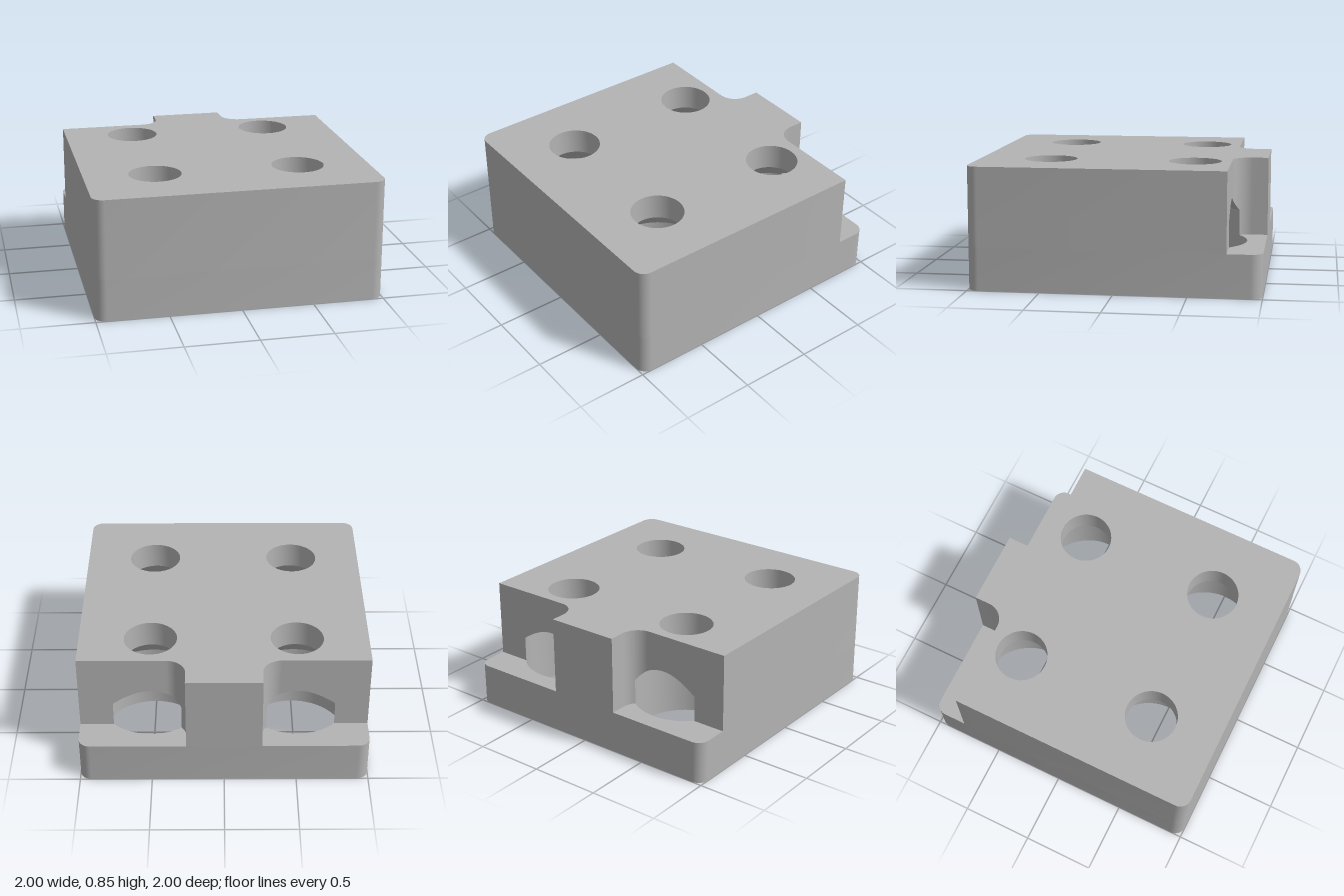
import * as THREE from 'three';
import { mergeGeometries, toCreasedNormals } from 'three/addons/utils/BufferGeometryUtils.js';

const HEIGHT = 0.85, LEDGE = 0.3;               // block top, notch floor
const BORE = 0.365, HOLE = 0.183, SPRING = 0.48; // bore radii, start of the 45 degree cone
const CONE_TOP = SPRING + BORE - HOLE;
const C = 0.505;                                 // bore centre distance in x and z
const WALL = -0.76, TAB = 0.26, FILLET = 0.13, CORNER = 0.08;

// Plan points are Vector2(x, z); falling angles run anticlockwise seen from above.
const P = (x, z) => new THREE.Vector2(x, z);
function arc(cx, cz, r, a0, a1, n) {
  return Array.from({ length: n + 1 }, (_, i) => {
    const a = a0 + (a1 - a0) * i / n;
    return P(cx + r * Math.cos(a), cz + r * Math.sin(a));
  });
}
const mirror = (pts) => pts.map((p) => P(-p.x, p.y)).reverse();

// Upright or sloping surface between two plan paths; heights may vary per point
function ribbon(lower, y0, upper, y1, flip = false) {
  const pos = [], index = [];
  const h = (y, p) => (typeof y === 'function' ? y(p) : y);
  lower.forEach((p, i) => {
    const q = upper[i];
    pos.push(p.x, h(y0, p), p.y, q.x, h(y1, q), q.y);
    if (i === 0) return;
    const a = 2 * i - 2, b = a + 1, c = a + 2, d = a + 3;
    if (flip) index.push(a, d, c, a, b, d);
    else index.push(a, c, d, a, d, b);
  });
  const g = new THREE.BufferGeometry();
  g.setAttribute('position', new THREE.Float32BufferAttribute(pos, 3));
  g.setIndex(index);
  return g;
}
const wall = (pts, y0, y1, flip) => ribbon(pts, y0, pts, y1, flip);

// Flat horizontal face with holes
function cap(outline, holes, y, up) {
  const s = up ? -1 : 1;
  const flat = (pts) => pts.map((p) => P(p.x, s * p.y));
  const shape = new THREE.Shape(flat(outline));
  shape.holes = holes.map((h) => new THREE.Path(flat(h)));
  const g = new THREE.ShapeGeometry(shape);
  g.rotateX(s * Math.PI / 2);
  g.translate(0, y, 0);
  return g;
}

function smooth(parts) {
  const plain = parts.map((g) => {
    const n = g.index ? g.toNonIndexed() : g;
    n.deleteAttribute('uv');
    n.deleteAttribute('normal');
    return n;
  });
  return toCreasedNormals(mergeGeometries(plain), 0.5);
}

export function createModel() {
  const group = new THREE.Group();
  const grey = new THREE.MeshStandardMaterial({ color: 0xb3b3b3 });
  grey.name = 'grey';
  const add = (name, ...parts) => {
    const mesh = new THREE.Mesh(smooth(parts), grey);
    mesh.name = name;
    group.add(mesh);
  };
  const H = Math.PI / 2, k = 1 - CORNER;

  // Rounded corners of the plan
  const frontRight = arc(k, k, CORNER, H, 0, 10);
  const backRight = arc(k, -k, CORNER, 0, -H, 10);
  const front = [...mirror(frontRight), ...frontRight];
  const base = [...front, ...backRight, ...mirror(backRight)];

  // Notch wall on the left side, split where the bore breaks through it
  const fc = P(TAB + FILLET, WALL - FILLET);
  const filletAt = (a) => P(fc.x + FILLET * Math.cos(a), fc.y + FILLET * Math.sin(a));
  const centre = P(C, -C);
  let lo = H, hi = Math.PI;
  for (let i = 0; i < 40; i++) {
    const mid = (lo + hi) / 2;
    if (filletAt(mid).distanceTo(centre) < BORE) lo = mid; else hi = mid;
  }
  const A = P(C + Math.sqrt(BORE ** 2 - (WALL + C) ** 2), WALL);
  const outer = [P(1, WALL), A];
  const straight = Array.from({ length: 25 }, (_, i) => P(A.x + (fc.x - A.x) * i / 24, WALL));
  const opening = [...straight, ...arc(fc.x, fc.y, FILLET, H, lo, 12).slice(1)];
  const inner = [...arc(fc.x, fc.y, FILLET, lo, Math.PI, 8), P(TAB, -1)];
  const notch = [...outer, ...opening.slice(1), ...inner.slice(1)];
  const B = inner[0];
  const angA = Math.atan2(A.y + C, A.x - C), angB = Math.atan2(B.y + C, B.x - C);
  const openArc = arc(C, -C, BORE, angA, angB, 20);
  const closedArc = arc(C, -C, BORE, angB, angA - 2 * Math.PI, 60);

  // Height of the bore's conical roof at a plan point
  const roof = (c) => (p) => SPRING + BORE - p.distanceTo(c);
  const toHole = (pts, c) => pts.map((p) => p.clone().sub(c).setLength(HOLE).add(c));
  const circle = (x, z, r) => arc(x, z, r, Math.PI * 2, 0, 72);

  // Outside of the block
  add('baseSides', wall([...base, base[0]], 0, LEDGE));
  add('bodySides', wall([P(-1, WALL), ...front, P(1, WALL)], LEDGE, HEIGHT));
  add('backTab', wall([P(TAB, -1), P(-TAB, -1)], LEDGE, HEIGHT));
  const spots = [[C, C], [-C, C], [C, -C], [-C, -C]];
  const ring = (r) => spots.map(([x, z]) => circle(x, z, r).slice(0, -1));
  add('underside', cap(base, ring(BORE), 0, false));
  add('topFace', cap([...front, ...notch, ...mirror(notch)], ring(HOLE), HEIGHT, true));

  for (const side of [1, -1]) {
    const name = side > 0 ? 'left' : 'right';
    const m = (pts) => (side > 0 ? pts : mirror(pts));
    const c = P(side * C, -C);

    // Notch: wall with an arched opening, and ledge
    add(name + 'NotchWall',
      wall(m(outer), LEDGE, HEIGHT),
      wall(m(opening), roof(c), HEIGHT),
      wall(m(inner), LEDGE, HEIGHT));
    add(name + 'NotchLedge', cap(m([
      P(1, WALL), ...openArc, ...inner.slice(1), ...[...backRight].reverse(),
    ]), [], LEDGE, true));

    // Back bore, cut open by the notch
    const rim = m([...opening, ...closedArc.slice(1)]);
    add(name + 'BackBore',
      wall(m(openArc), 0, LEDGE, true),
      wall(m(closedArc), 0, SPRING, true),
      ribbon(rim, roof(c), toHole(rim, c), CONE_TOP, true),
      wall(toHole(rim, c), CONE_TOP, HEIGHT, true));

    // Front bore
    const f = P(side * C, C), full = circle(f.x, f.y, BORE);
    add(name + 'FrontBore',
      wall(full, 0, SPRING, true),
      ribbon(full, SPRING, toHole(full, f), CONE_TOP, true),
      wall(toHole(full, f), CONE_TOP, HEIGHT, true));
  }
  return group;
}
